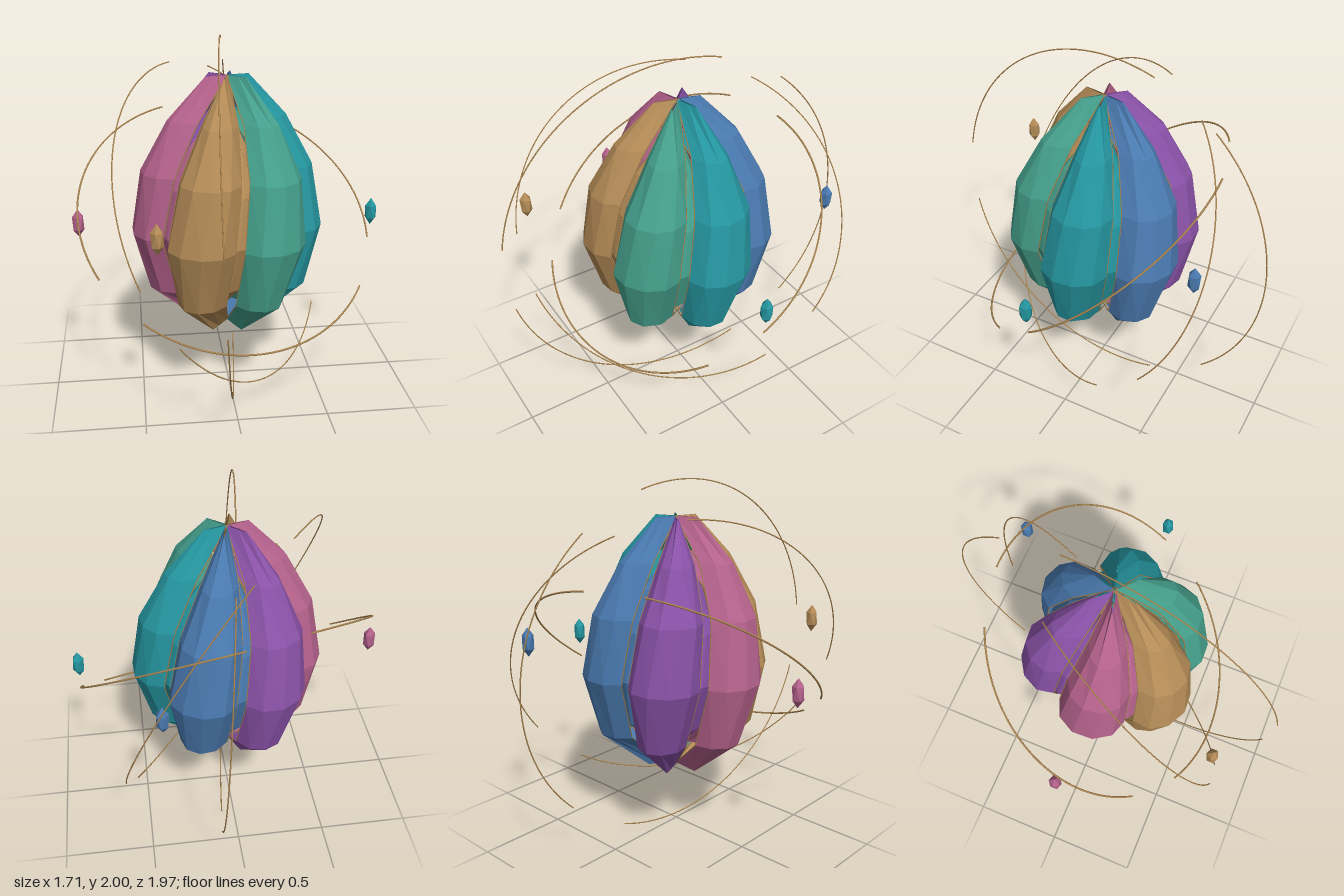
import * as THREE from 'three';

const mat = (name, color, extra = {}) => {
  const m = new THREE.MeshStandardMaterial({ color, ...extra });
  m.name = name;
  return m;
};

// Petal rows, measured from the centre height: height, edge distance, bulge depth, half width
const ROWS = [
  [-0.635, 0.005, 0.165, 0.006],
  [-0.40, 0.285, 0.16, 0.135],
  [-0.05, 0.38, 0.155, 0.19],
  [0.30, 0.33, 0.15, 0.165],
  [0.575, 0.195, 0.14, 0.095],
  [0.80, 0.0, 0.13, 0.006],
];
const COLS = 6;

// Point on a petal pointing along +x, twisting with height
function petalPoint(row, col) {
  const [y, c, b, w] = ROWS[row];
  const phi = -Math.PI / 2 + (Math.PI * col) / (COLS - 1);
  const r = c + b * Math.cos(phi), t = w * Math.sin(phi);
  const a = THREE.MathUtils.degToRad(-3.5 - 16 * y);
  return new THREE.Vector3(
    r * Math.cos(a) - t * Math.sin(a), y, r * Math.sin(a) + t * Math.cos(a));
}

function petalGeometry() {
  const pos = [], idx = [];
  for (let i = 0; i < ROWS.length; i++)
    for (let j = 0; j < COLS; j++) pos.push(...petalPoint(i, j).toArray());
  for (let i = 0; i < ROWS.length - 1; i++)
    for (let j = 0; j < COLS - 1; j++) {
      const a = i * COLS + j, b = a + 1, c = a + COLS, d = c + 1;
      idx.push(a, c, d, a, d, b);
    }
  const g = new THREE.BufferGeometry();
  g.setAttribute('position', new THREE.Float32BufferAttribute(pos, 3));
  g.setIndex(idx);
  g.computeVertexNormals();
  return g;
}

// Thin wire along one long edge of a petal
function trimGeometry(col) {
  const path = new THREE.CurvePath();
  for (let i = 0; i < ROWS.length - 1; i++)
    path.add(new THREE.LineCurve3(petalPoint(i, col), petalPoint(i + 1, col)));
  return new THREE.TubeGeometry(path, 40, 0.003, 5);
}

// Great-circle arc around the model's centre
class OrbitArc extends THREE.Curve {
  constructor(a, b, radius) {
    super();
    this.u = a.clone().normalize();
    this.angle = a.angleTo(b);
    this.v = b.clone().normalize().addScaledVector(this.u, -Math.cos(this.angle)).normalize();
    this.radius = radius;
  }
  getPoint(t, target = new THREE.Vector3()) {
    const s = t * this.angle;
    return target.set(0, 0, 0)
      .addScaledVector(this.u, this.radius * Math.cos(s))
      .addScaledVector(this.v, this.radius * Math.sin(s));
  }
}

export function createModel() {
  const model = new THREE.Group();
  model.name = 'petalLantern';
  const petalStyle = { flatShading: true, side: THREE.DoubleSide };
  const teal = mat('teal', 0x2596a0, petalStyle);
  const green = mat('sea green', 0x45a08c, petalStyle);
  const brown = mat('ochre', 0xb58c57, petalStyle);
  const rose = mat('rose', 0xb5628c, petalStyle);
  const purple = mat('purple', 0x8a52a8, petalStyle);
  const blue = mat('blue', 0x4a7ab0, petalStyle);
  const wire = mat('bronze wire', 0xa8834f);

  const add = (parent, name, geometry, material) => {
    const m = new THREE.Mesh(geometry, material);
    m.name = name;
    parent.add(m);
    return m;
  };

  // Outer petals, and a smaller inner layer turned into the gaps
  const petalGeo = petalGeometry();
  const trims = [trimGeometry(0), trimGeometry(COLS - 1)];
  for (const [name, scale, turn] of [['outerPetal', 1, 0], ['innerPetal', 0.77, 0.4]])
    [teal, green, brown, rose, purple, blue].forEach((material, i) => {
      const petal = new THREE.Group();
      petal.name = name;
      petal.position.y = 1;
      petal.scale.setScalar(scale);
      petal.rotation.y = turn - i * Math.PI / 3;
      add(petal, 'petalShell', petalGeo, material);
      trims.forEach(t => add(petal, 'petalTrim', t, wire));
      model.add(petal);
    });

  // Three broken rings: radius, wire radius, then start and end of each arc
  const rings = [
    ['innerRing', 0.83, 0.005, [
      [-0.71, -0.17, 0.40, -0.325, 0.51, -0.575],
      [0.82, -0.16, 0, 0, 0.50, -0.66],
      [-0.495, -0.345, 0.575, 0.715, -0.345, 0.26]]],
    ['middleRing', 0.915, 0.0035, [
      [-0.505, -0.075, 0.765, -0.295, 0.835, -0.24],
      [-0.325, -0.39, 0.765, 0.555, -0.675, -0.25],
      [-0.06, 0.765, -0.51, 0.615, -0.43, -0.52]]],
    ['outerRing', 0.996, 0.0035, [
      [-0.005, 0.96, -0.27, -0.13, 0.155, 0.98],
      [-0.11, -0.245, 0.965, 0.08, -0.925, -0.355],
      [0.045, 0.78, -0.625, 0.12, -0.71, -0.69]]],
  ];
  for (const [name, radius, thickness, arcs] of rings) {
    const ring = new THREE.Group();
    ring.name = name;
    ring.position.y = 1;
    for (const p of arcs) {
      const arc = new OrbitArc(
        new THREE.Vector3(p[0], p[1], p[2]), new THREE.Vector3(p[3], p[4], p[5]), radius);
      add(ring, 'ringArc', new THREE.TubeGeometry(arc, 48, thickness, 6), wire);
    }
    model.add(ring);
  }

  // Floating crystals: stretched icosahedra standing on a point
  const gemGeo = new THREE.IcosahedronGeometry(1, 0)
    .rotateZ(Math.atan(2 / (1 + Math.sqrt(5)))).scale(0.036, 0.08, 0.036);
  [[teal, 0.825, 1.0, 0], [rose, -0.825, 1.0, 0],
    [brown, -0.415, 1.17, 0.715], [blue, 0.41, 1.17, -0.71]].forEach(([m, x, y, z]) =>
    add(model, 'crystal', gemGeo, m).position.set(x, y, z));

  return model;
}
